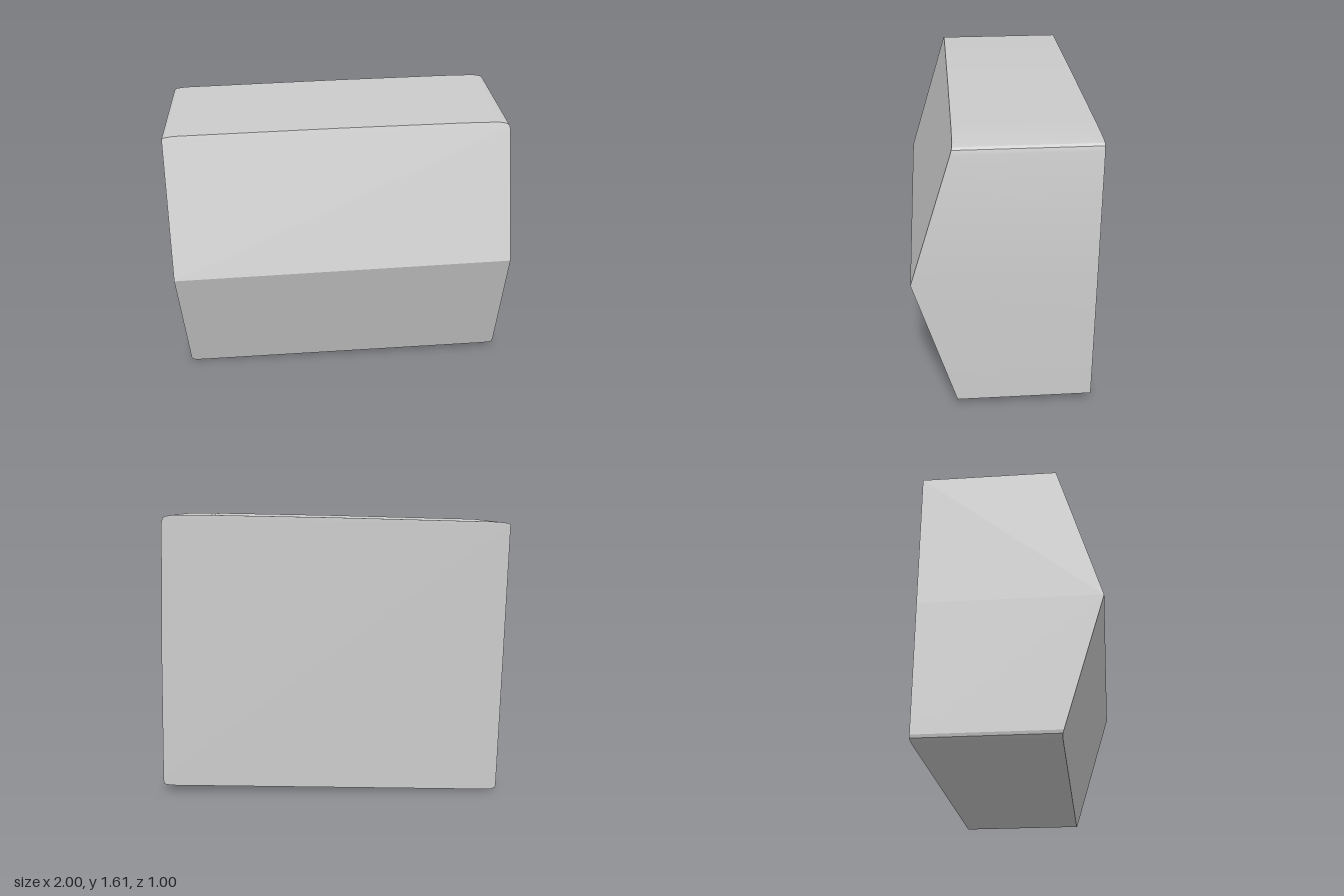
import * as THREE from 'three';
import { ConvexGeometry } from 'three/addons/geometries/ConvexGeometry.js';
import { toCreasedNormals } from 'three/addons/utils/BufferGeometryUtils.js';

// Slightly tilted outline with small worn corners, clockwise from the upper left
const outline = [
  [-1, 1.562], [-0.985, 1.57], [-0.93, 1.577], [0, 1.602], [0.7, 1.616], [0.9, 1.617],
  [0.945, 1.61], [0.96, 1.6], [0.967, 1.575], [0.988, 0.836], [1, 0.1], [0.999, 0.06],
  [0.985, 0.051], [0.93, 0.046], [0, 0.025], [-0.85, 0.004], [-0.93, 0.003],
  [-0.955, 0.013], [-0.96, 0.03], [-0.98, 0.771],
];

// The front slopes back above and below a slightly tilted ridge
const ridgeY = (x) => 0.803 + 0.033 * x;
const frontZ = (x, y) => 0.5 - 0.304 * Math.abs(y - ridgeY(x));

export function createModel() {
  const group = new THREE.Group();
  const points = [];
  for (const [x, y] of outline) {
    points.push(new THREE.Vector3(x, y, -0.5));
    points.push(new THREE.Vector3(x, y, frontZ(x, y)));
  }
  // Crisp ridge and rims, softly rounded corners
  const geometry = toCreasedNormals(new ConvexGeometry(points), 0.25);
  const block = new THREE.Mesh(geometry, new THREE.MeshStandardMaterial({ color: 0xcccccc }));
  block.name = 'ridgedBlock';
  group.add(block);
  return group;
}
